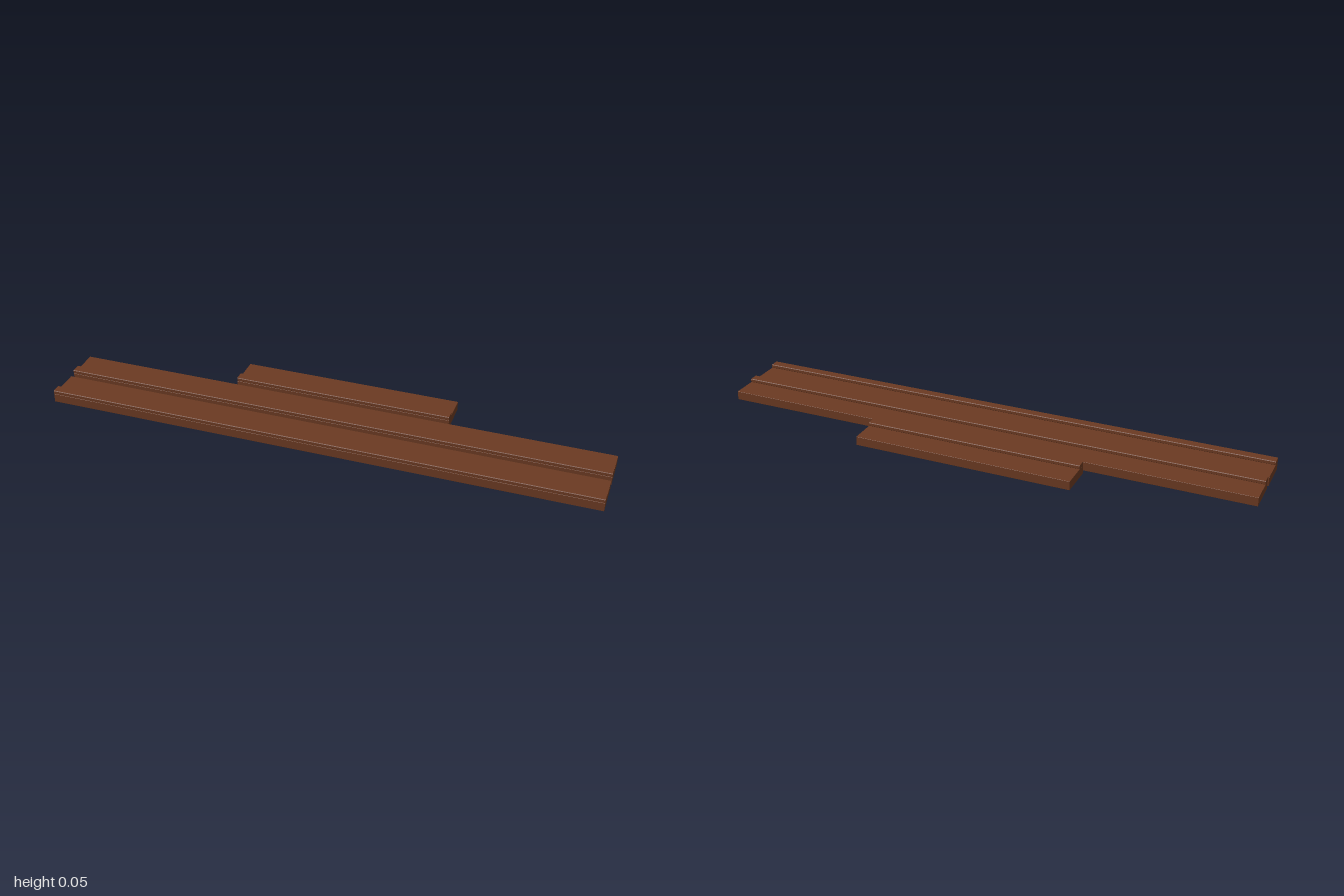
import * as THREE from 'three';

const wood = new THREE.MeshStandardMaterial({ color: 0x6b3a22 });
wood.name = 'brown wood';

// Beam along x with small chamfers on its long edges
function beam(name, length, height, depth, chamfer) {
  const w = depth / 2, h = height / 2, c = chamfer;
  const profile = new THREE.Shape([
    [-w + c, -h], [w - c, -h], [w, -h + c], [w, h - c],
    [w - c, h], [-w + c, h], [-w, h - c], [-w, -h + c],
  ].map(([x, y]) => new THREE.Vector2(x, y)));
  const geometry = new THREE.ExtrudeGeometry(profile, { depth: length, bevelEnabled: false });
  geometry.translate(0, 0, -length / 2).rotateY(Math.PI / 2);
  const mesh = new THREE.Mesh(geometry, wood);
  mesh.name = name;
  return mesh;
}

// Wide plank with a raised strip along its front edge
function ledge(name, length, z) {
  const group = new THREE.Group();
  group.name = name;
  const plank = beam('plank', length, 0.033, 0.129, 0.0008);
  plank.position.y = 0.0165;
  const strip = beam('strip', length, 0.0135, 0.036, 0.002);
  strip.position.set(0, 0.03995, 0.0465);
  group.add(plank, strip);
  group.position.z = z;
  return group;
}

export function createModel() {
  const model = new THREE.Group();
  model.name = 'ledges';
  model.add(
    ledge('frontLedge', 2, 0.149),
    ledge('middleLedge', 2, 0),
    ledge('shortBackLedge', 0.806, -0.149),
  );
  return model;
}
